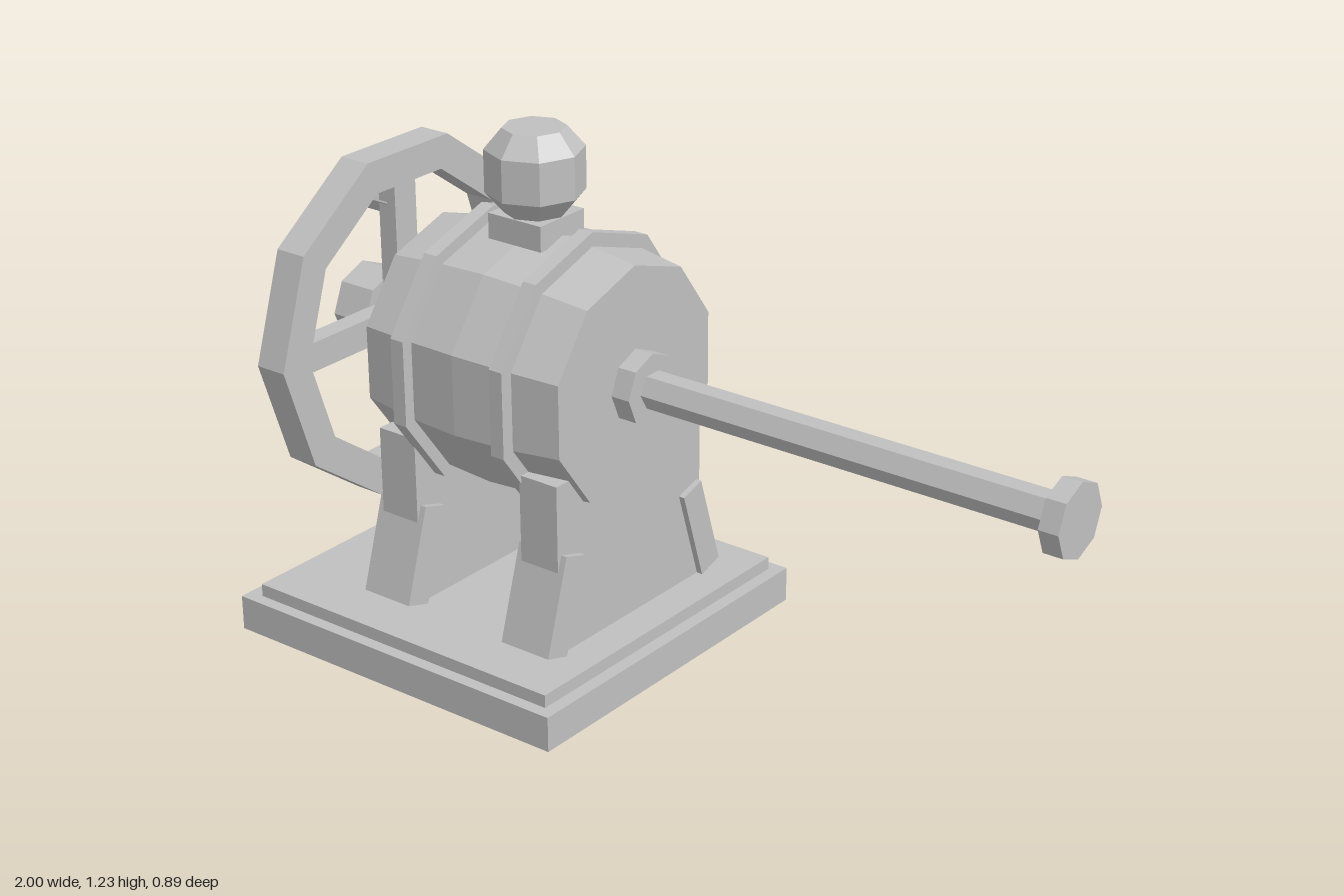
import * as THREE from 'three';

const AXIS_Y = 0.69;    // height of the shaft line
const DRUM_X = -0.4;    // centre of the drum

export function createModel() {
  const model = new THREE.Group();
  model.name = 'crankMachine';
  const grey = new THREE.MeshStandardMaterial({ color: 0xc0c0c0 });
  grey.name = 'plainGrey';

  // Adds a faceted mesh
  function add(name, geometry, x, y, z) {
    const flat = geometry.index ? geometry.toNonIndexed() : geometry;
    flat.computeVertexNormals();
    const mesh = new THREE.Mesh(flat, grey);
    mesh.name = name;
    mesh.position.set(x, y, z);
    model.add(mesh);
    return mesh;
  }
  const box = (name, w, h, d, x, y, z) => add(name, new THREE.BoxGeometry(w, h, d), x, y, z);

  // Prism along x from x0 to x1, with corners at +z and -z
  function rod(name, radius, sides, x0, x1, y = AXIS_Y) {
    const g = new THREE.CylinderGeometry(radius, radius, x1 - x0, sides).rotateZ(-Math.PI / 2);
    return add(name, g, (x0 + x1) / 2, y, 0);
  }
  const lathe = (points, sides) =>
    new THREE.LatheGeometry(points.map(([r, y]) => new THREE.Vector2(r, y)), sides);

  // Stepped base
  box('basePlate', 0.93, 0.085, 0.89, -0.485, 0.0425, 0);
  box('baseStep', 0.86, 0.032, 0.83, -0.482, 0.1, 0);

  // Barrel-shaped drum with a corner at the top
  const drum = lathe([[0, -0.277], [0.28, -0.277], [0.3, -0.14], [0.308, 0],
    [0.3, 0.14], [0.28, 0.277], [0, 0.277]], 10);
  drum.rotateZ(-Math.PI / 2).rotateX(Math.PI / 2);
  add('drum', drum, DRUM_X, AXIS_Y, 0);

  for (const side of [-1, 1]) {
    // Raised hoop
    const hoop = rod('drumBand', 0.33, 10, DRUM_X + side * 0.142 - 0.018, DRUM_X + side * 0.142 + 0.018);
    hoop.rotation.x = Math.PI / 2;
    // Cradle and its two sloping braces
    box('cradle', 0.105, 0.42, 0.515, DRUM_X + side * 0.207, 0.32, 0);
    for (const s of [-1, 1]) {
      const brace = box('cradleBrace', 0.135, 0.236, 0.068, DRUM_X + side * 0.207, 0.238, s * 0.2475);
      brace.rotation.x = -s * 0.3;
    }
  }

  // Filler neck and faceted knob
  box('knobNeck', 0.15, 0.06, 0.15, DRUM_X, 1.005, 0);
  add('topKnob', lathe([[0, 1.035], [0.072, 1.035], [0.113, 1.083], [0.113, 1.182],
    [0.072, 1.23], [0, 1.23]], 8), DRUM_X, 0, 0);

  // Output shaft
  rod('outputCollar', 0.085, 8, -0.13, -0.075);
  rod('outputShaft', 0.044, 6, -0.1, 0.97);
  rod('outputFlange', 0.086, 8, 0.953, 1);

  // Crank wheel: rim, spokes, hub and grip
  const corners = (r) => Array.from({ length: 10 }, (_, i) =>
    new THREE.Vector2(r * Math.cos(i * Math.PI / 5), r * Math.sin(i * Math.PI / 5)));
  const rimShape = new THREE.Shape(corners(0.433));
  rimShape.holes.push(new THREE.Path(corners(0.35)));
  const rim = new THREE.ExtrudeGeometry(rimShape, { depth: 0.08, bevelEnabled: false });
  rim.translate(0, 0, -0.04).rotateY(Math.PI / 2);
  add('wheelRim', rim, -0.817, AXIS_Y, 0);
  box('uprightSpoke', 0.05, 0.7, 0.07, -0.817, AXIS_Y, 0);
  box('levelSpoke', 0.05, 0.07, 0.72, -0.817, AXIS_Y, 0);
  rod('wheelShaft', 0.064, 8, -0.86, -0.66);
  rod('wheelHub', 0.102, 8, -0.938, -0.84);
  rod('crankGrip', 0.037, 6, -1, -0.817, 0.97);

  return model;
}
